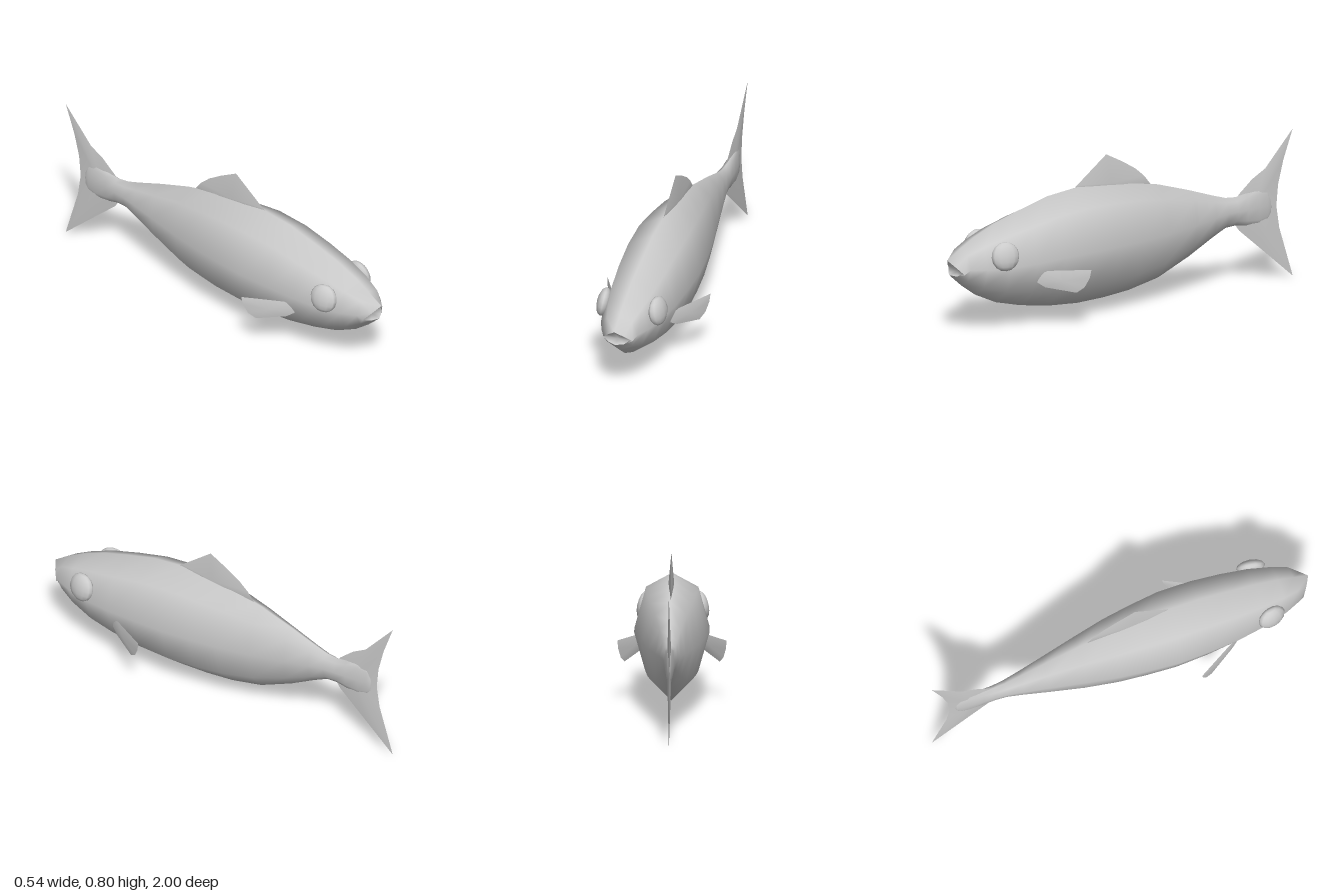
import * as THREE from 'three';

const grey = () => new THREE.MeshStandardMaterial({ color: 0xcccccc, side: THREE.DoubleSide });

function makeMesh(name, points, faces) {
  const geometry = new THREE.BufferGeometry();
  geometry.setAttribute('position', new THREE.Float32BufferAttribute(points.flat(), 3));
  geometry.setIndex(faces.flat());
  geometry.computeVertexNormals();
  const mesh = new THREE.Mesh(geometry, grey());
  mesh.name = name;
  return mesh;
}

// Eight-sided ring from its right half, listed from top to bottom
const mirrorRing = (half) => [
  ...half,
  ...half.slice(1, -1).reverse().map(([x, y, z]) => [-x, y, z]),
];

// Body cross-section: ridge, shoulder, flank, lower flank, keel
function section([z, top, bottom, width]) {
  const at = (t) => bottom + (top - bottom) * t;
  return mirrorRing([
    [0, top, z], [0.7 * width, at(0.875), z], [width, at(0.52), z],
    [0.7 * width, at(0.19), z], [0, bottom, z],
  ]);
}

// Fan-shaped triangles closing a ring against a centre vertex
const fan = (centre, start, count, flip) => Array.from({ length: count }, (_, j) => {
  const a = start + j, b = start + (j + 1) % count;
  return flip ? [centre, b, a] : [centre, a, b];
});

// Thin lens-shaped fin: outline in (z, y), thickest at its centre
function makeFin(name, outline, [cz, cy], thickness, offset = () => 0) {
  const points = [], faces = [];
  for (const side of [1, -1]) {
    const start = points.length;
    points.push([offset(cz) + side * thickness, cy, cz]);
    outline.forEach(([z, y]) => points.push([offset(z), y, z]));
    faces.push(...fan(start, start + 1, outline.length, side > 0));
  }
  return makeMesh(name, points, faces);
}

export function createModel() {
  const fish = new THREE.Group();
  fish.name = 'fish';

  // Lips, then body sections: z, top, bottom, half width
  const lips = mirrorRing([
    [0, 0.395, 1], [0.04, 0.365, 0.975], [0.076, 0.33, 0.945],
    [0.04, 0.318, 0.968], [0, 0.318, 0.988],
  ]);
  const rings = [lips, ...[
    [0.92, 0.448, 0.255, 0.095], [0.84, 0.495, 0.195, 0.125],
    [0.72, 0.548, 0.137, 0.154], [0.58, 0.592, 0.1, 0.174],
    [0.42, 0.637, 0.072, 0.185], [0.25, 0.657, 0.06, 0.187],
    [0.1, 0.651, 0.065, 0.17], [-0.05, 0.635, 0.08, 0.148],
    [-0.22, 0.598, 0.118, 0.112], [-0.4, 0.54, 0.2, 0.075],
    [-0.53, 0.493, 0.272, 0.051], [-0.61, 0.467, 0.312, 0.038],
    [-0.67, 0.462, 0.316, 0.031], [-0.73, 0.475, 0.3, 0.026],
    [-0.8, 0.485, 0.289, 0.02], [-0.85, 0.472, 0.303, 0.012],
    [-0.87, 0.425, 0.335, 0.006],
  ].map(section)];
  const faces = [];
  for (let i = 0; i < rings.length - 1; i++) {
    for (let j = 0; j < 8; j++) {
      const a = i * 8 + j, b = i * 8 + (j + 1) % 8;
      faces.push([a, b, a + 8], [b, b + 8, a + 8]);
    }
  }
  const points = [...rings.flat(), [0, 0.38, -0.878]];
  faces.push(...fan(points.length - 1, points.length - 9, 8, false));
  fish.add(makeMesh('body', points, faces));

  // Recessed mouth
  fish.add(makeMesh('mouth', [...lips, [0, 0.332, 0.94]], fan(8, 0, 8, true)));

  // Back and tail fins
  fish.add(makeFin('dorsalFin', [
    [0.28, 0.64], [0.25, 0.665], [0.08, 0.8], [-0.02, 0.745],
    [-0.09, 0.7], [-0.14, 0.655], [-0.19, 0.59],
  ], [0.06, 0.65], 0.014));
  fish.add(makeFin('tailFin', [
    [-0.65, 0.42], [-0.69, 0.475], [-0.765, 0.54], [-0.84, 0.583], [-1, 0.765],
    [-0.945, 0.61], [-0.915, 0.49], [-0.905, 0.38], [-0.922, 0.265], [-1, 0.005],
    [-0.84, 0.15], [-0.74, 0.24], [-0.69, 0.285], [-0.65, 0.34],
  ], [-0.77, 0.385], 0.012));

  for (const side of [1, -1]) {
    const label = side > 0 ? 'left' : 'right';

    // Side fin, sweeping out and back
    const fin = makeFin(label + 'PectoralFin', [
      [0.57, 0.285], [0.52, 0.31], [0.33, 0.312], [0.337, 0.27],
      [0.36, 0.222], [0.395, 0.195], [0.53, 0.225], [0.565, 0.25],
    ], [0.46, 0.26], 0.012, (z) => 0.27 - 0.54 * (z - 0.33));
    fin.scale.x = side;
    fish.add(fin);

    // Flattened eye, tilted to follow the head
    const eye = new THREE.Mesh(new THREE.SphereGeometry(1, 12, 8), grey());
    eye.name = label + 'Eye';
    eye.scale.set(0.034, 0.073, 0.073);
    eye.position.set(side * 0.142, 0.413, 0.75);
    eye.rotation.set(0, side * -0.18, side * 0.2);
    fish.add(eye);
  }
  return fish;
}
